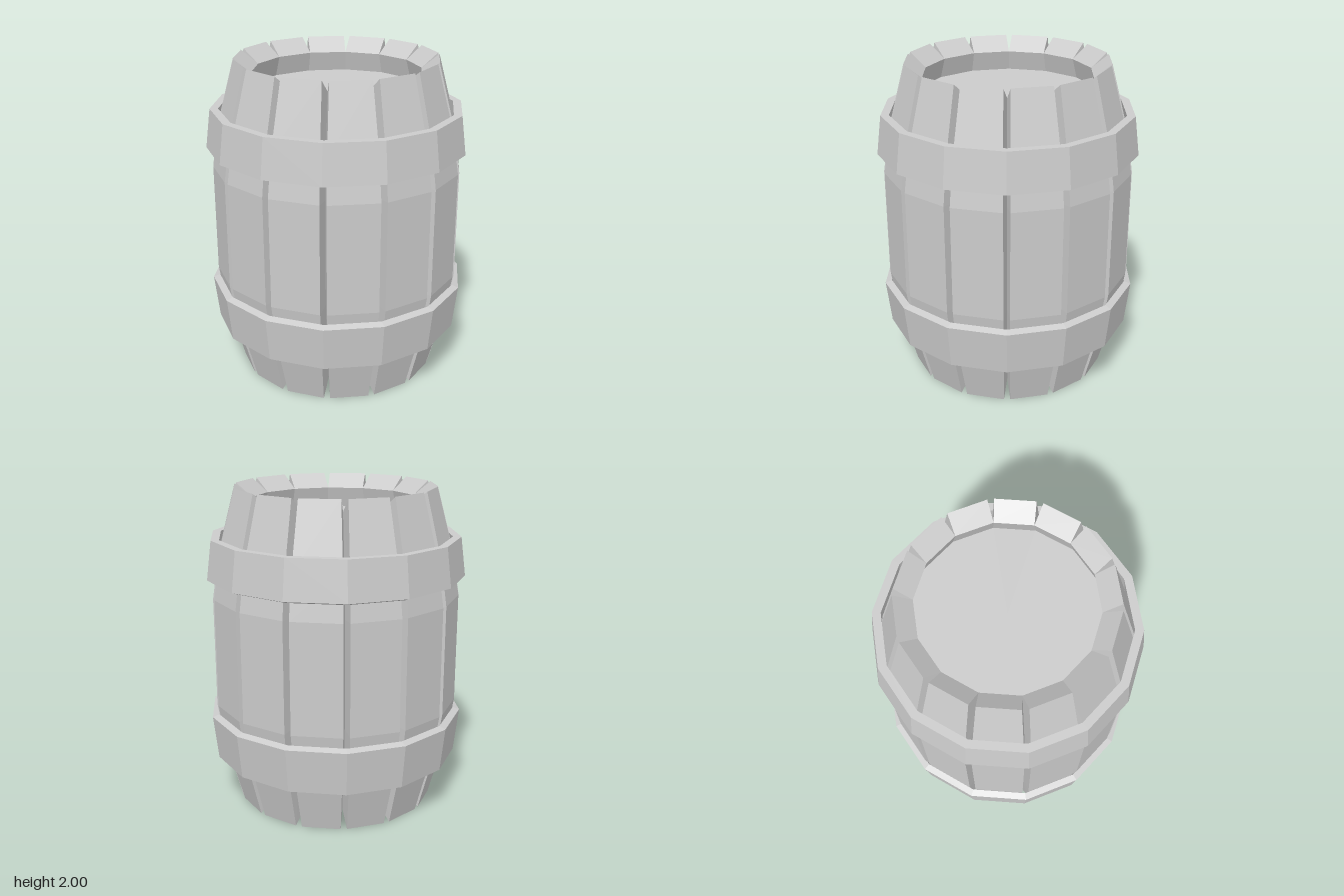
import * as THREE from 'three';

const SIDES = 14;
const HALF = Math.PI / SIDES;
const GAP = 0.02; // half the gap between neighbouring staves

// [height, distance of the flat from the axis]
const OUTER = [[0, 0.61], [0.4, 0.715], [0.66, 0.755], [1.34, 0.755], [1.6, 0.715], [2, 0.61]];
const INNER = [[0.085, 0.505], [0.43, 0.603], [0.67, 0.64], [1.33, 0.64], [1.57, 0.603], [1.915, 0.505]];

// One stave facing +z: outer edges leave a gap, inner edges meet the neighbours
function staveGeometry() {
  const section = (y, a, gap) => {
    const w = a * Math.tan(HALF) - gap;
    return { l: [-w, y, a], r: [w, y, a] };
  };
  const outer = OUTER.map(([y, a]) => section(y, a, GAP));
  const inner = INNER.map(([y, a]) => section(y, a, 0));
  const pos = [];
  const quad = (a, b, c, d) => pos.push(...a, ...b, ...c, ...a, ...c, ...d);

  // Outer face, top bevel, inner face, bottom bevel
  const loop = [...outer, ...inner.slice().reverse()];
  loop.forEach((p, k) => {
    const q = loop[(k + 1) % loop.length];
    quad(p.l, p.r, q.r, q.l);
  });
  // Two side faces
  for (let i = 0; i < outer.length - 1; i++) {
    const [o, p, n, m] = [outer[i], outer[i + 1], inner[i], inner[i + 1]];
    quad(o.r, n.r, m.r, p.r);
    quad(o.l, p.l, m.l, n.l);
  }
  const geo = new THREE.BufferGeometry();
  geo.setAttribute('position', new THREE.Float32BufferAttribute(pos, 3));
  geo.computeVertexNormals();
  return geo;
}

// Closed ring from a profile of [flat distance, height]
function hoopGeometry(profile) {
  const pts = [...profile, profile[0]].map(([a, y]) => new THREE.Vector2(a / Math.cos(HALF), y));
  return new THREE.LatheGeometry(pts, SIDES);
}

export function createModel() {
  const model = new THREE.Group();
  model.name = 'barrel';
  const grey = new THREE.MeshStandardMaterial({ color: 0xcccccc, flatShading: true });
  const greyThin = new THREE.MeshStandardMaterial({ color: 0xcccccc, flatShading: true, side: THREE.DoubleSide });
  const add = (geo, name, parent = model, mat = grey) => {
    const mesh = new THREE.Mesh(geo, mat);
    mesh.name = name;
    parent.add(mesh);
    return mesh;
  };

  // Staves
  const staves = new THREE.Group();
  staves.name = 'staves';
  model.add(staves);
  const stave = staveGeometry();
  for (let i = 0; i < SIDES; i++) add(stave, 'stave', staves).rotation.y = (2 * i + 1) * HALF;

  // Hoops, wider toward the middle of the barrel
  add(hoopGeometry([[0.745, 1.445], [0.785, 1.46], [0.755, 1.7], [0.705, 1.7]]), 'upperHoop');
  add(hoopGeometry([[0.705, 0.305], [0.755, 0.305], [0.785, 0.58], [0.745, 0.595]]), 'lowerHoop');

  // Recessed lid
  const lid = add(new THREE.CircleGeometry(0.545 / Math.cos(HALF), SIDES, Math.PI / 2), 'lid', model, greyThin);
  lid.rotation.x = -Math.PI / 2;
  lid.position.y = 1.79;

  return model;
}
